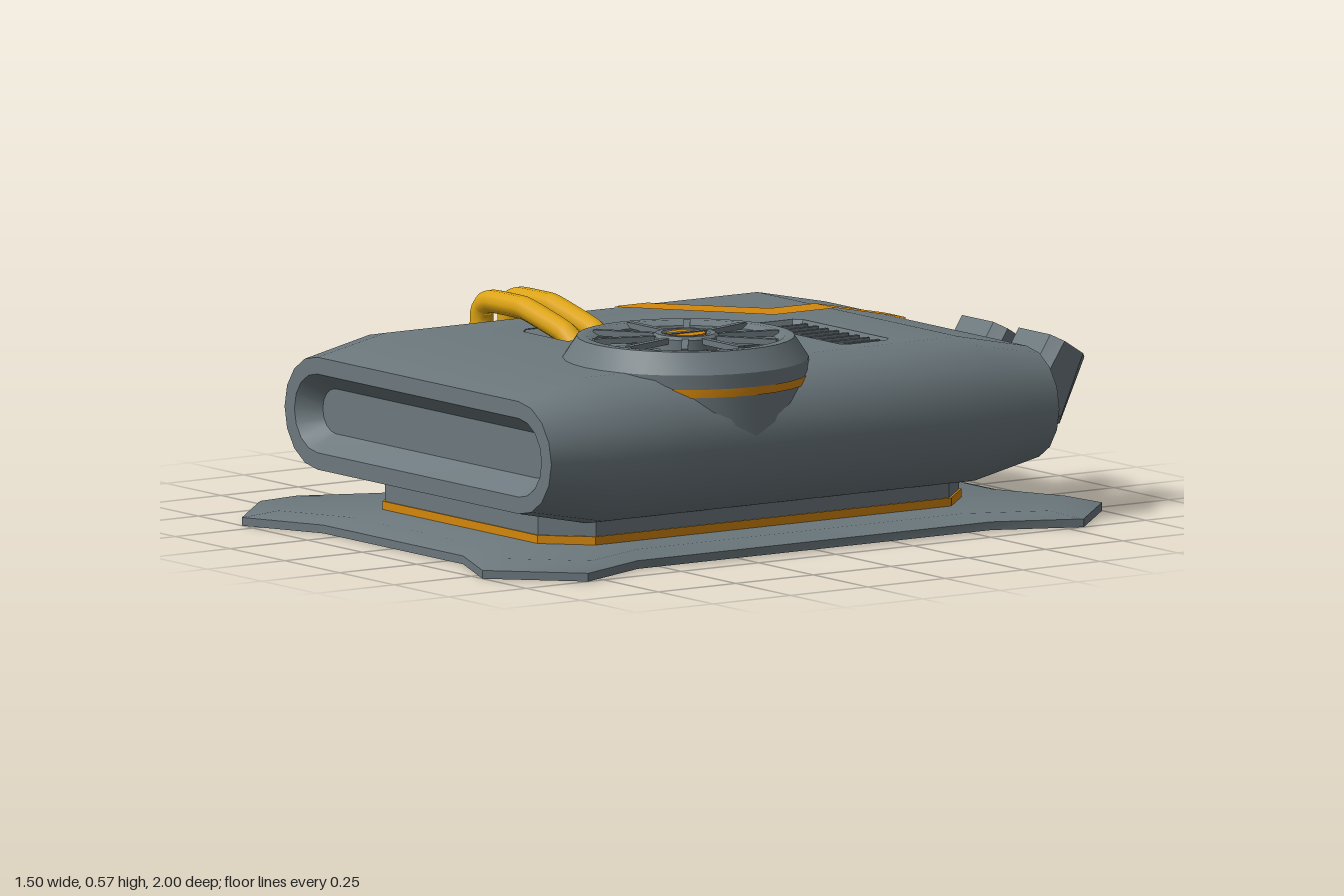
import * as THREE from 'three';
import { mergeGeometries, toCreasedNormals } from 'three/addons/utils/BufferGeometryUtils.js';

const V = (x, y, z) => new THREE.Vector3(x, y, z);

// Skin through closed rings; rings run counter-clockwise about the travel direction
function loft(rings, { start = false, end = false, skip = () => false } = {}) {
  const p = [];
  const tri = (...vs) => vs.forEach(v => p.push(v.x, v.y, v.z));
  const n = rings[0].length;
  for (let i = 0; i < rings.length - 1; i++) {
    for (let j = 0; j < n; j++) {
      if (skip(i, j)) continue;
      const k = (j + 1) % n, a = rings[i], b = rings[i + 1];
      tri(a[j], a[k], b[k]);
      tri(a[j], b[k], b[j]);
    }
  }
  const cap = (r, flip) => {
    const c = r.reduce((s, v) => s.add(v), V(0, 0, 0)).divideScalar(n);
    r.forEach((v, j) => flip ? tri(c, r[(j + 1) % n], v) : tri(c, v, r[(j + 1) % n]));
  };
  if (start) cap(rings[0], true);
  if (end) cap(rings[rings.length - 1], false);
  const g = new THREE.BufferGeometry();
  g.setAttribute('position', new THREE.Float32BufferAttribute(p, 3));
  return g;
}

// Flat panel from 2D points with holes, position only
function panel(points, holes = []) {
  const s = new THREE.Shape(points.map(q => new THREE.Vector2(...q)));
  holes.forEach(h => s.holes.push(new THREE.Path(h.map(q => new THREE.Vector2(...q)))));
  const g = new THREE.ShapeGeometry(s).toNonIndexed();
  g.deleteAttribute('uv');
  g.deleteAttribute('normal');
  return g;
}

// Rounded-end outline as 2D points, counter-clockwise
function stadium(cx, cy, s, r) {
  const pts = [];
  for (const side of [1, -1]) {
    for (let k = 0; k <= 8; k++) {
      const a = (k / 8 - 0.5) * Math.PI;
      pts.push([cx + side * (s + r * Math.cos(a)), cy + side * r * Math.sin(a)]);
    }
  }
  return pts;
}

// Rectangle with cut corners, counter-clockwise
function octagon(cx, cy, w, h, c) {
  return [[w, -h + c], [w, h - c], [w - c, h], [-w + c, h], [-w, h - c], [-w, -h + c], [-w + c, -h], [w - c, -h]]
    .map(([x, y]) => [cx + x, cy + y]);
}

const onTop = (pts, y) => pts.map(([x, v]) => V(x, typeof y === 'function' ? y(x) : y, -v));

export function createModel() {
  const model = new THREE.Group();
  const grey = new THREE.MeshStandardMaterial({ color: 0x6c787d });
  const orange = new THREE.MeshStandardMaterial({ color: 0xd4860b });
  const yellow = new THREE.MeshStandardMaterial({ color: 0xdda412 });
  grey.name = 'hull grey'; orange.name = 'stripe orange'; yellow.name = 'pipe yellow';

  const add = (geo, mat, name, parent = model) => {
    const m = new THREE.Mesh(toCreasedNormals(geo, 0.55), mat);
    m.name = name;
    parent.add(m);
    return m;
  };

  // Base plate with pointed corners and a bevelled top
  const quarter = [[0.32, 0.9], [0.55, 1], [0.75, 0.8], [0.65, 0.57]];
  const mirrored = [...quarter].reverse();
  const outline = [...quarter, ...mirrored.map(([x, z]) => [x, -z]),
    ...quarter.map(([x, z]) => [-x, -z]), ...mirrored.map(([x, z]) => [-x, z])];
  const plateRing = (y, sx, sz) => outline.map(([x, z]) => V(x * sx, y, z * sz));
  add(loft([plateRing(0, 1, 1), plateRing(0.022, 1, 1), plateRing(0.04, 0.9, 0.92)],
    { start: true, end: true }), grey, 'basePlate');

  // Pedestal and its stripe
  const foot = (grow, y) => onTop(octagon(0, 0, 0.46 + grow, 0.68 + grow, 0.11), y);
  add(loft([foot(0, 0.035), foot(0, 0.12)]), grey, 'pedestal');
  add(loft([foot(0.004, 0.038), foot(0.004, 0.062)], { end: true }), orange, 'pedestalStripe');

  // Main body: rounded section, tapered ends, pipe notch on one side
  const cy = 0.295, R = 0.195, S = 0.46;
  const slice = (z, r, limit = 1) => stadium(0, cy, S, r).map(([x, y]) => V(Math.max(x, -limit), y, z));
  const rings = [slice(-0.82, 0.15), slice(-0.6, R)];
  for (let k = 0; k <= 4; k++) {
    const c = Math.cos(k * Math.PI / 8);
    rings.push(slice(-0.03 + 0.12 * (1 - c), R, S + R * c));
  }
  for (let k = 4; k >= 0; k--) {
    const c = Math.cos(k * Math.PI / 8);
    rings.push(slice(0.28 + 0.12 * c, R, S + R * c));
  }
  rings.push(slice(0.6, R), slice(0.82, 0.15), slice(0.82, 0.105), slice(0.76, 0.06));
  const shell = loft(rings, { end: true, skip: (i, j) => j === 8 && i >= 1 && i < 12 });

  // Top deck with the openings for the pipes and the vent
  const pipeHole = [[-0.07, -0.29], [-0.07, -0.08], [-0.27, -0.08], [-0.3, -0.11], [-0.3, -0.26], [-0.27, -0.29]];
  const ventHole = octagon(0.185, 0.35, 0.215, 0.08, 0.02);
  const deck = panel([[-S, -0.6], [S, -0.6], [S, 0.6], [-S, 0.6]], [pipeHole, ventHole]);
  deck.rotateX(-Math.PI / 2).translate(0, 0.49, 0);
  const pipeWell = loft([onTop(pipeHole, 0.49), onTop(pipeHole, x => 0.488 - 0.07 * (x + 0.3) / 0.23)], { end: true });
  const ventWell = loft([onTop(ventHole, 0.49), onTop(octagon(0.185, 0.35, 0.195, 0.06, 0.015), 0.445)], { end: true });

  // Back wall with two rounded recesses, drawn mirrored and turned round
  const backHoles = [stadium(0.405, cy, 0.05, 0.105), stadium(-0.26, cy, 0.195, 0.105)];
  const back = panel(stadium(0, cy, S, 0.15), backHoles).rotateY(Math.PI).translate(0, 0, -0.82);
  const backWells = backHoles.map(h => loft([-0.82, -0.775].map(z => h.map(([x, y]) => V(-x, y, z))), { end: true }));
  add(mergeGeometries([shell, deck, pipeWell, ventWell, back, ...backWells]), grey, 'body');

  // Vent slats
  for (let i = 0; i < 8; i++) {
    add(new THREE.BoxGeometry(0.014, 0.04, 0.14).translate(0.02 + i * 0.047, 0.464, -0.35), grey, 'ventSlat');
  }

  // Painted stripe: deck, tapered back end, rounded side
  const stripe = new THREE.Group();
  stripe.name = 'bodyStripe';
  model.add(stripe);
  add(panel([[-0.1, 0.6], [-0.195, 0.6], [-0.195, 0.455], [-0.445, 0.25], [-S, 0.25], [-S, 0.14], [-0.44, 0.14], [-0.1, 0.4]])
    .rotateX(-Math.PI / 2).translate(0, 0.494, 0), orange, 'deckStripe', stripe);
  const ribbon = [[0.494, -0.6], [0.449, -0.824], [0.141, -0.824], [0.096, -0.6]];
  add(loft(ribbon.map(([y, z]) => [V(-0.1, y, z), V(-0.195, y, z)])), orange, 'backStripe', stripe);
  add(new THREE.CylinderGeometry(R + 0.004, R + 0.004, 0.11, 8, 1, true, Math.PI, Math.PI)
    .rotateX(Math.PI / 2).translate(-S, cy, -0.195), orange, 'sideStripe', stripe);

  // Fan housing
  const fan = new THREE.Group();
  fan.name = 'fan';
  fan.position.set(0.325, 0, 0.185);
  model.add(fan);
  const profile = [[0.325, 0.29], [0.325, 0.49], [0.288, 0.547], [0.262, 0.547], [0.24, 0.535], [0.235, 0.495], [0, 0.495]];
  add(new THREE.LatheGeometry(profile.map(q => new THREE.Vector2(...q)), 32), grey, 'fanHousing', fan);
  add(new THREE.CylinderGeometry(0.328, 0.328, 0.022, 32, 1, true).translate(0, 0.441, 0), orange, 'fanStripe', fan);

  // Blades below, guard spokes above
  for (let i = 0; i < 8; i++) {
    const blade = add(new THREE.CapsuleGeometry(0.026, 0.12, 3, 8).rotateZ(Math.PI / 2)
      .scale(1, 0.5, 1).translate(0.15, 0.507, 0), grey, 'fanBlade', fan);
    blade.rotation.y = i * Math.PI / 4;
  }
  for (let i = 0; i < 10; i++) {
    const spoke = add(new THREE.BoxGeometry(0.18, 0.016, 0.018).translate(0.165, 0.542, 0), grey, 'fanSpoke', fan);
    spoke.rotation.y = i * Math.PI / 5;
  }

  // Hub with a split orange cap
  const hub = [[0.09, 0.495], [0.09, 0.547], [0.08, 0.555], [0.065, 0.555], [0.06, 0.548], [0, 0.548]];
  add(new THREE.LatheGeometry(hub.map(q => new THREE.Vector2(...q)), 20), grey, 'fanHub', fan);
  for (const start of [0, Math.PI]) {
    add(new THREE.CylinderGeometry(0.052, 0.052, 0.005, 10, 1, false, start, Math.PI)
      .translate(0, 0.552, 0), orange, 'hubCap', fan);
  }
  add(new THREE.BoxGeometry(0.02, 0.01, 0.124).translate(0, 0.552, 0), grey, 'hubBar', fan);

  // Pair of pipes from the base plate over the side and into the deck
  for (const z of [0.14, 0.23]) {
    const path = new THREE.CatmullRomCurve3([[-0.545, 0.03], [-0.545, 0.3], [-0.545, 0.495], [-0.53, 0.525], [-0.495, 0.537],
      [-0.345, 0.537], [-0.16, 0.495], [-0.08, 0.447]].map(([x, y]) => V(x, y, z)), false, 'catmullrom', 0.15);
    const m = new THREE.Mesh(new THREE.TubeGeometry(path, 60, 0.031, 10), yellow);
    m.name = 'pipe';
    model.add(m);
  }

  // Two bent exhaust ducts, open at the top
  const section = (cx, [z0, y0], [z1, y1], inset) => octagon(0, 0.5, 1, 0.5, 0).map((_, j) => {
    const len = Math.hypot(z1 - z0, y1 - y0);
    const [u, v] = octagon(0, len / 2, 0.102 - inset, len / 2 - inset, 0.03 - inset * 0.4)[j];
    return V(cx - u, y0 + (y1 - y0) * v / len, z0 + (z1 - z0) * v / len);
  });
  for (const cx of [0.137, 0.397]) {
    const low = [-1, 0.4], high = [-0.89, 0.47];
    add(loft([
      section(cx, [-0.77, 0.21], [-0.77, 0.37], 0),
      section(cx, [-0.92, 0.23], [-0.83, 0.375], 0),
      section(cx, low, high, 0),
      section(cx, low, high, 0.018),
      section(cx, [-0.965, 0.325], [-0.855, 0.395], 0.022),
    ], { end: true }), grey, 'exhaustDuct');
  }
  return model;
}
